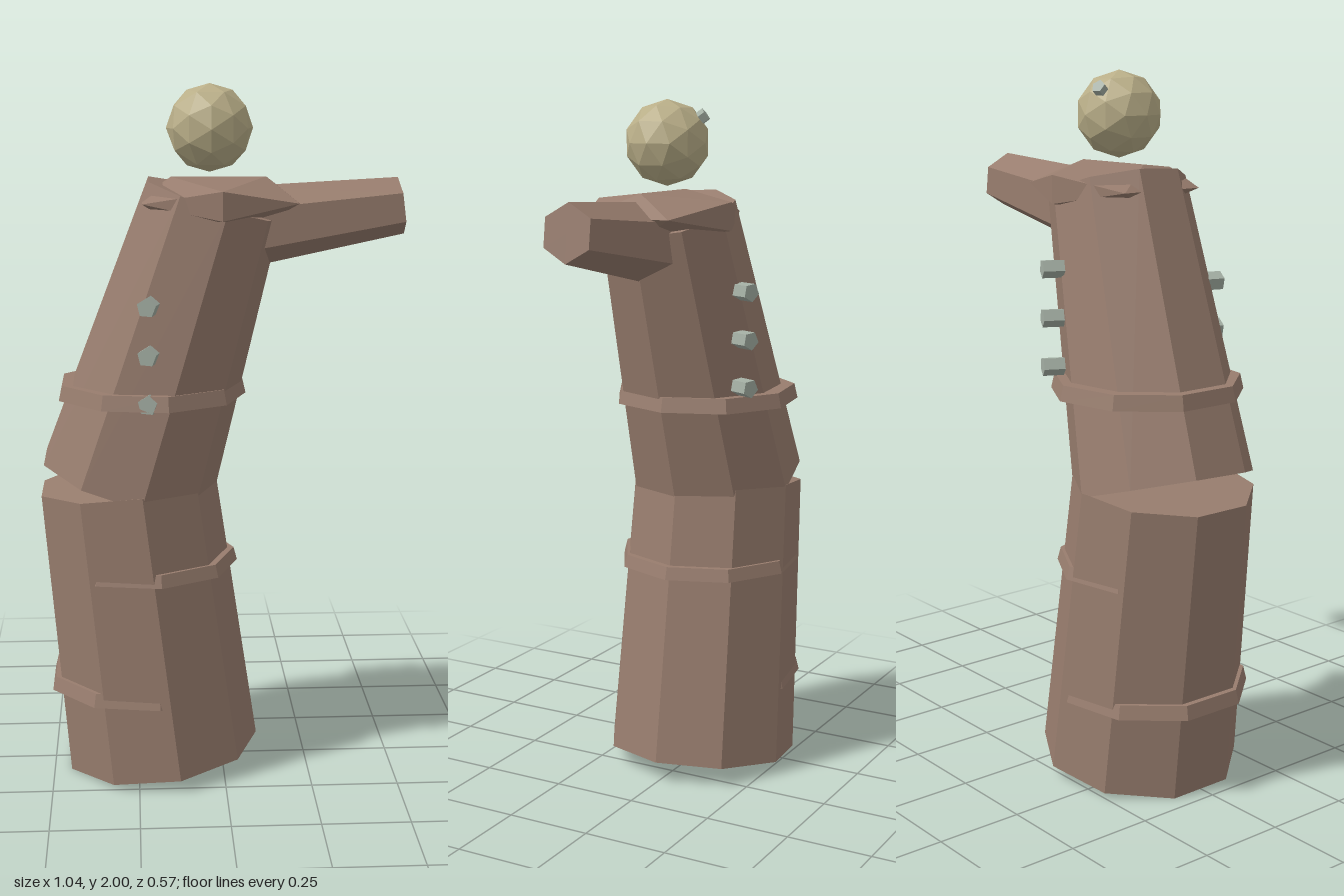
import * as THREE from 'three';

const UP = new THREE.Vector3(0, 1, 0);

export function createModel() {
  const model = new THREE.Group();
  model.name = 'stackedTrunkFigure';

  const material = (name, color) => {
    const m = new THREE.MeshStandardMaterial({ color, flatShading: true });
    m.name = name;
    return m;
  };
  const bark = material('barkBrown', 0x987d6e);
  const straw = material('strawHead', 0xb9ae88);
  const stone = material('stoneGrey', 0xa3aea3);

  const add = (name, geometry, mat) => {
    const mesh = new THREE.Mesh(geometry, mat);
    mesh.name = name;
    model.add(mesh);
    return mesh;
  };

  // Tapered prism between two points, with one corner on local +x
  const limb = (name, from, to, r0, r1, sides, mat) => {
    const a = new THREE.Vector3(...from);
    const b = new THREE.Vector3(...to);
    const axis = b.clone().sub(a);
    const geometry = new THREE.CylinderGeometry(r1, r0, axis.length(), sides, 1, false, Math.PI / 2);
    const mesh = add(name, geometry, mat);
    mesh.position.copy(a).add(b).multiplyScalar(0.5);
    mesh.quaternion.setFromUnitVectors(UP, axis.normalize());
    return mesh;
  };

  // Small five-sided peg centred on a point and aimed along a direction
  const peg = (name, centre, direction, radius, length) => {
    const c = new THREE.Vector3(...centre);
    const half = new THREE.Vector3(...direction).normalize().multiplyScalar(length / 2);
    const from = c.clone().sub(half).toArray();
    const to = c.clone().add(half).toArray();
    return limb(name, from, to, radius, radius, 5, stone);
  };

  // Two leaning trunk sections that meet at a bent waist
  limb('lowerTrunk', [-0.181, 0.036, 0], [-0.278, 0.871, 0], 0.288, 0.26, 9, bark);
  limb('upperTrunk', [-0.278, 0.866, 0], [-0.026, 1.683, 0.035], 0.26, 0.2, 9, bark);

  // Level bands, partly sunk into the trunk
  const bands = [
    ['lowerBand', -0.237, 0.255, 0.295, 0.28],
    ['middleBand', -0.229, 0.618, 0.655, 0.275],
    ['upperBand', -0.206, 1.122, 1.165, 0.276],
  ];
  for (const [name, x, y0, y1, r] of bands) {
    limb(name, [x, y0, 0], [x, y1, 0], r, r - 0.01, 9, bark);
  }

  // Flattened collar on the shoulders
  const collar = add('collar', new THREE.IcosahedronGeometry(0.253, 0), bark);
  collar.scale.y = 0.3;
  collar.position.set(-0.01, 1.68, 0.034);

  // Single branch arm
  limb('arm', [0.08, 1.606, 0.033], [0.505, 1.662, 0.033], 0.113, 0.08, 6, bark);

  // Floating faceted head
  const headCentre = [-0.035, 1.879, 0.036];
  add('head', new THREE.IcosahedronGeometry(0.121, 1), straw).position.set(...headCentre);
  peg('headStud', [-0.067, 1.948, -0.055], [-0.032, 0.069, -0.091], 0.02, 0.035);

  // Rows of pegs up the front and back
  for (let i = 0; i < 3; i++) {
    peg('frontPeg' + (i + 1), [-0.21, 1.14 + i * 0.135, 0.232], [-0.25, 0, 0.97], 0.028, 0.06);
    peg('backPeg' + (i + 1), [-0.045, 1.195 + i * 0.137, -0.208], [0.42, 0, -0.9], 0.027, 0.06);
  }

  return model;
}
